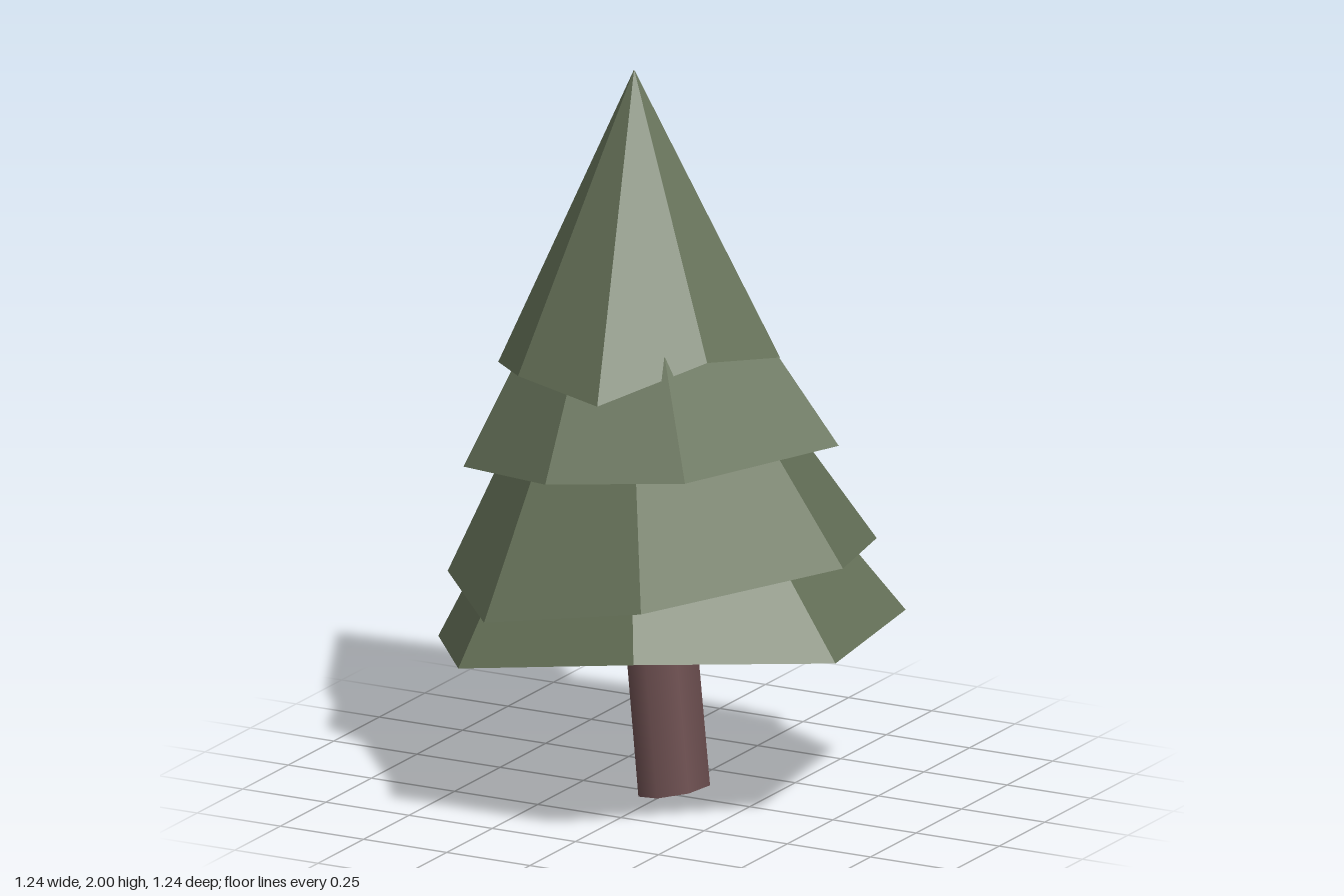
import * as THREE from 'three';

const needles = new THREE.MeshStandardMaterial({ color: 0x667259 });
needles.name = 'needle green';
const bark = new THREE.MeshStandardMaterial({ color: 0x735455 });
bark.name = 'bark brown';

// Irregular seven-sided cone: a tip, a rim running clockwise from above, and a closed underside.
function tierGeometry(tip, rim) {
  const centre = [0, 1, 2].map(k => rim.reduce((sum, p) => sum + p[k], 0) / rim.length);
  const pos = [];
  rim.forEach((a, i) => {
    const b = rim[(i + 1) % rim.length];
    pos.push(...tip, ...b, ...a, ...centre, ...a, ...b);
  });
  const geo = new THREE.BufferGeometry();
  geo.setAttribute('position', new THREE.Float32BufferAttribute(pos, 3));
  geo.computeVertexNormals(); // unshared corners give flat facets
  return geo;
}

// Tiers from the ground up; every rim is tilted and uneven.
const tiers = [
  {
    name: 'bottomTier', tip: [-0.08, 1.43, 0.07],
    rim: [[0.05, 0.36, -0.62], [0.53, 0.495, -0.345], [0.62, 0.505, 0.205], [0.24, 0.555, 0.62],
      [-0.31, 0.455, 0.577], [-0.62, 0.38, 0.12], [-0.43, 0.35, -0.415]],
  },
  {
    name: 'lowerMiddleTier', tip: [-0.09, 1.65, 0.06],
    rim: [[-0.095, 0.6, -0.53], [0.38, 0.64, -0.46], [0.555, 0.715, -0.0 + 0.045], [0.25, 0.69, 0.597],
      [-0.22, 0.6, 0.6], [-0.54, 0.595, 0.215], [-0.49, 0.575, -0.285]],
  },
  {
    name: 'upperMiddleTier', tip: [-0.08, 1.82, 0.06],
    rim: [[0.18, 0.905, -0.415], [0.485, 1.015, -0.06], [0.28, 1.005, 0.41], [-0.087, 0.975, 0.507],
      [-0.435, 0.925, 0.32], [-0.53, 0.9, -0.075], [-0.275, 0.87, -0.39]],
  },
  {
    name: 'topTier', tip: [-0.07, 2, 0.05],
    rim: [[-0.01, 1.18, -0.385], [0.325, 1.243, -0.03], [0.24, 1.28, 0.215], [0.037, 1.192, 0.448],
      [-0.26, 1.205, 0.34], [-0.44, 1.16, 0.12], [-0.38, 1.155, -0.21]],
  },
];

// Leaning trunk with a slanted foot; its top is buried in the bottom tier.
function trunkGeometry() {
  const height = 0.55;
  const geo = new THREE.CylinderGeometry(0.097, 0.097, height, 7);
  geo.translate(0, height / 2, 0);
  const p = geo.attributes.position;
  for (let i = 0; i < p.count; i++) {
    const x = p.getX(i), y = p.getY(i), z = p.getZ(i);
    p.setXYZ(i, x + 0.03 - 0.075 * y, y + 0.022 + 0.2 * x * (1 - y / height), z + 0.01 + 0.035 * y);
  }
  return geo;
}

export function createModel() {
  const tree = new THREE.Group();
  tree.name = 'pineTree';

  const trunk = new THREE.Mesh(trunkGeometry(), bark);
  trunk.name = 'trunk';
  tree.add(trunk);

  for (const { name, tip, rim } of tiers) {
    const tier = new THREE.Mesh(tierGeometry(tip, rim), needles);
    tier.name = name;
    tree.add(tier);
  }
  return tree;
}
